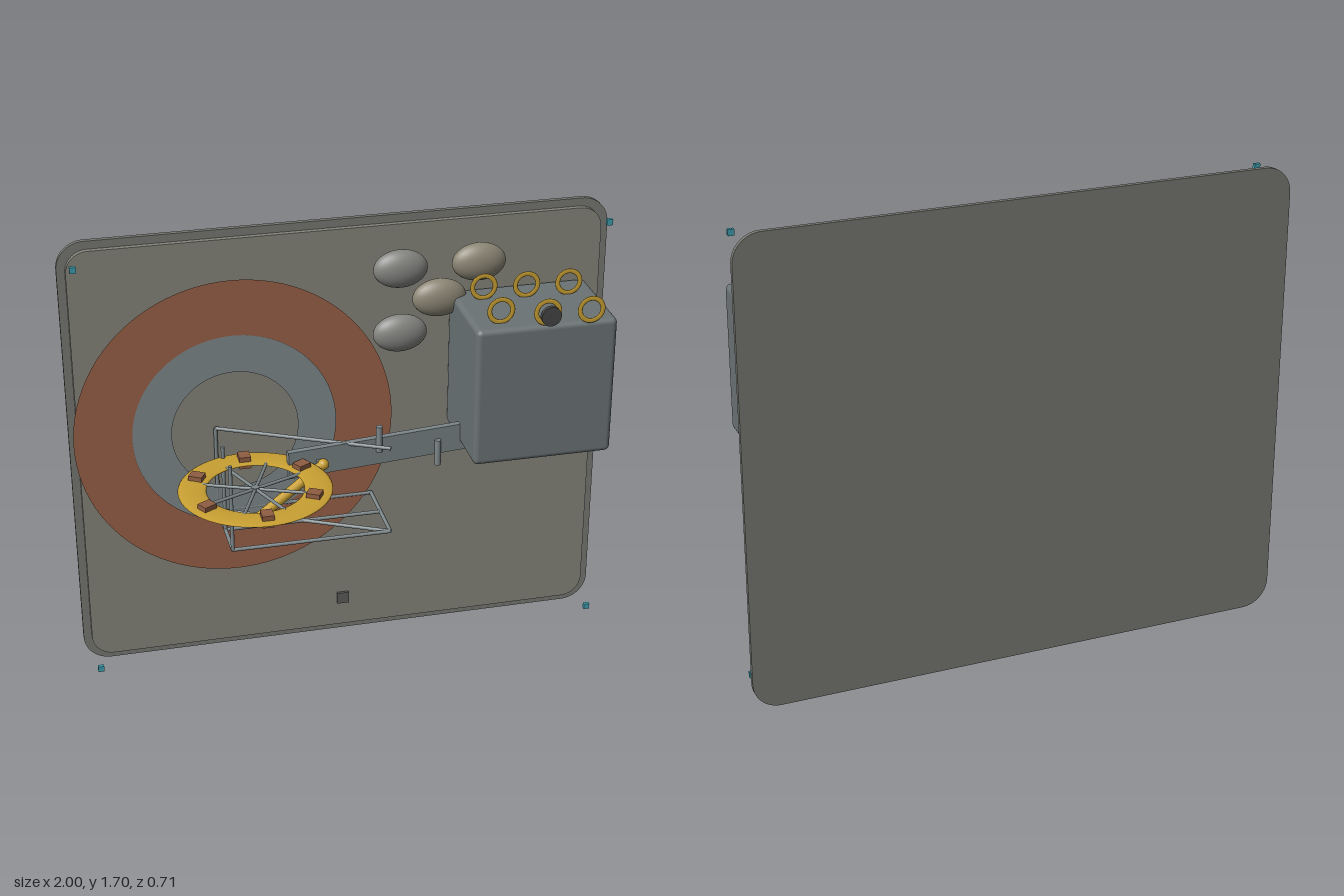
import * as THREE from 'three';
import { RoundedBoxGeometry } from 'three/addons/geometries/RoundedBoxGeometry.js';

const mat = (color, side = THREE.FrontSide) => new THREE.MeshStandardMaterial({ color, side });
const slate = mat(0x6b7375), steel = mat(0x7d878a), stoneGrey = mat(0x858582), stoneBeige = mat(0x8c8675);
const yellow = mat(0xc9a032), brown = mat(0x8f5d42), dark = mat(0x444444), teal = mat(0x3f9fb0);
const plateMat = mat(0x85857c), rimMat = mat(0x777772);

function roundedPlate(w, h, r, depth) {
  const s = new THREE.Shape(), x = w / 2, y = h / 2;
  s.moveTo(-x + r, -y);
  s.lineTo(x - r, -y);
  s.absarc(x - r, -y + r, r, -Math.PI / 2, 0);
  s.absarc(x - r, y - r, r, 0, Math.PI / 2);
  s.absarc(-x + r, y - r, r, Math.PI / 2, Math.PI);
  s.absarc(-x + r, -y + r, r, Math.PI, Math.PI * 1.5);
  return new THREE.ExtrudeGeometry(s, { depth, bevelEnabled: false, curveSegments: 10 });
}

export function createModel() {
  const model = new THREE.Group();
  const add = (name, geometry, material, x = 0, y = 0, z = 0, parent = model) => {
    const m = new THREE.Mesh(geometry, material);
    m.name = name;
    m.position.set(x, y, z);
    parent.add(m);
    return m;
  };
  const group = (name, x = 0, y = 0, z = 0) => {
    const g = new THREE.Group();
    g.name = name;
    g.position.set(x, y, z);
    model.add(g);
    return g;
  };
  // Round rod between two points
  const rod = (name, a, b, r, material, parent = model) => {
    const p = new THREE.Vector3(...a), q = new THREE.Vector3(...b), d = q.clone().sub(p);
    const m = add(name, new THREE.CylinderGeometry(r, r, d.length(), 16), material, 0, 0, 0, parent);
    m.position.copy(p).add(q).multiplyScalar(0.5);
    m.quaternion.setFromUnitVectors(new THREE.Vector3(0, 1, 0), d.normalize());
    return m;
  };

  // Upright backing plate with a raised inner panel
  add('backPlate', roundedPlate(2, 1.7, 0.1, 0.018), rimMat, 0, 0.85, -0.36);
  add('innerPanel', roundedPlate(1.94, 1.64, 0.08, 0.02), plateMat, 0, 0.85, -0.342);

  // Flat rings on the panel
  const ring = (name, r0, r1, color, z) =>
    add(name, new THREE.RingGeometry(r0, r1, 96), mat(color, THREE.DoubleSide), -0.4, 0.933, z);
  ring('outerRing', 0.373, 0.587, 0x9a6248, -0.309);
  ring('middleRing', 0.233, 0.376, 0x7f898c, -0.304);

  // Housing box
  add('housing', new RoundedBoxGeometry(0.515, 0.527, 0.377, 3, 0.02), slate, 0.657, 1.134, -0.132);

  // Hoops standing on the housing, and one solid knob
  const hoopGeo = new THREE.TorusGeometry(0.042, 0.009, 10, 36);
  hoopGeo.scale(1, 1, 0.25);
  [[0.5, 0], [0.655, 0.05], [0.81, 0.062], [0.5, -0.215], [0.655, -0.2], [0.81, -0.19]]
    .forEach(([x, z]) => add('hoop', hoopGeo, yellow, x, 1.445, z));
  add('knob', new THREE.CylinderGeometry(0.036, 0.036, 0.016, 28), dark, 0.655, 1.445, 0.084).rotation.x = Math.PI / 2;

  // Sloping arm with pegs alternating high and low
  const arm = group('arm', 0.313, 0.897, -0.13);
  arm.rotation.y = 0.1216;
  add('armBeam', new THREE.BoxGeometry(1.145, 0.104, 0.024), steel, 0, 0, 0, arm);
  for (let i = 0; i < 5; i++) {
    add('peg', new THREE.CylinderGeometry(0.012, 0.012, 0.1, 14), steel,
      -0.46 + i * 0.228, i % 2 ? 0.053 : -0.042, 0.02, arm);
  }

  // Tubular support frame
  const frame = group('supportFrame');
  const xl = -0.472, xr = 0.11, lo = 0.605, hi = 0.945, zs = [-0.01, -0.16, -0.31];
  for (const z of zs) {
    rod('framePost', [xl, lo, z], [xl, hi, z], 0.007, steel, frame);
    rod('frameRail', [xl, lo, z], [xr, lo, z], 0.007, steel, frame);
  }
  for (const x of [xl, xr]) rod('frameCrossbar', [x, lo, zs[0]], [x, lo, zs[2]], 0.007, steel, frame);
  for (const y of [lo, hi]) rod('frameBrace', [xl, y, zs[2]], [xr, y, zs[0]], 0.007, steel, frame);

  // Horizontal wheel with spokes and rim blocks
  const wheel = group('wheel', -0.4, 0.896, 0.083);
  const rim = new THREE.TorusGeometry(0.221, 0.05, 14, 64);
  rim.rotateX(Math.PI / 2).scale(1, 0.13, 1);
  add('wheelRim', rim, yellow, 0, 0, 0, wheel);
  add('wheelHub', new THREE.CylinderGeometry(0.015, 0.015, 0.016, 16), steel, 0, 0, 0, wheel);
  for (let i = 0; i < 8; i++) {
    const a = (i + 0.5) * Math.PI / 4;
    rod('spoke', [0, 0, 0], [0.19 * Math.cos(a), 0, 0.19 * Math.sin(a)], 0.006, steel, wheel);
  }
  for (let i = 0; i < 6; i++) {
    const a = Math.PI / 6 + i * Math.PI / 3;
    add('rimBlock', new THREE.BoxGeometry(0.05, 0.045, 0.042), brown,
      0.217 * Math.cos(a), 0.001, 0.217 * Math.sin(a), wheel).rotation.y = -a;
  }

  // Inclined handle with a rounded end
  rod('handle', [-0.395, 0.778, 0.085], [-0.13, 0.892, -0.045], 0.018, yellow);
  add('handleTip', new THREE.SphereGeometry(0.021, 20, 14), yellow, -0.13, 0.892, -0.045);

  // Oval stones
  [[0.21, 1.515, stoneGrey], [0.5, 1.515, stoneBeige], [0.355, 1.39, stoneBeige], [0.21, 1.265, stoneGrey]]
    .forEach(([x, y, m]) =>
      add('stone', new THREE.SphereGeometry(1, 32, 20), m, x, y, -0.285).scale.set(0.1, 0.071, 0.046));

  // Small square tile low on the panel
  add('tile', new THREE.BoxGeometry(0.046, 0.046, 0.01), mat(0x5c5c5a), 0, 0.155, -0.311);

  // Corner markers
  for (const x of [-0.955, 0.955]) for (const y of [0.047, 1.657])
    add('cornerMarker', new THREE.BoxGeometry(0.022, 0.022, 0.014), teal, x, y, -0.2);

  return model;
}
